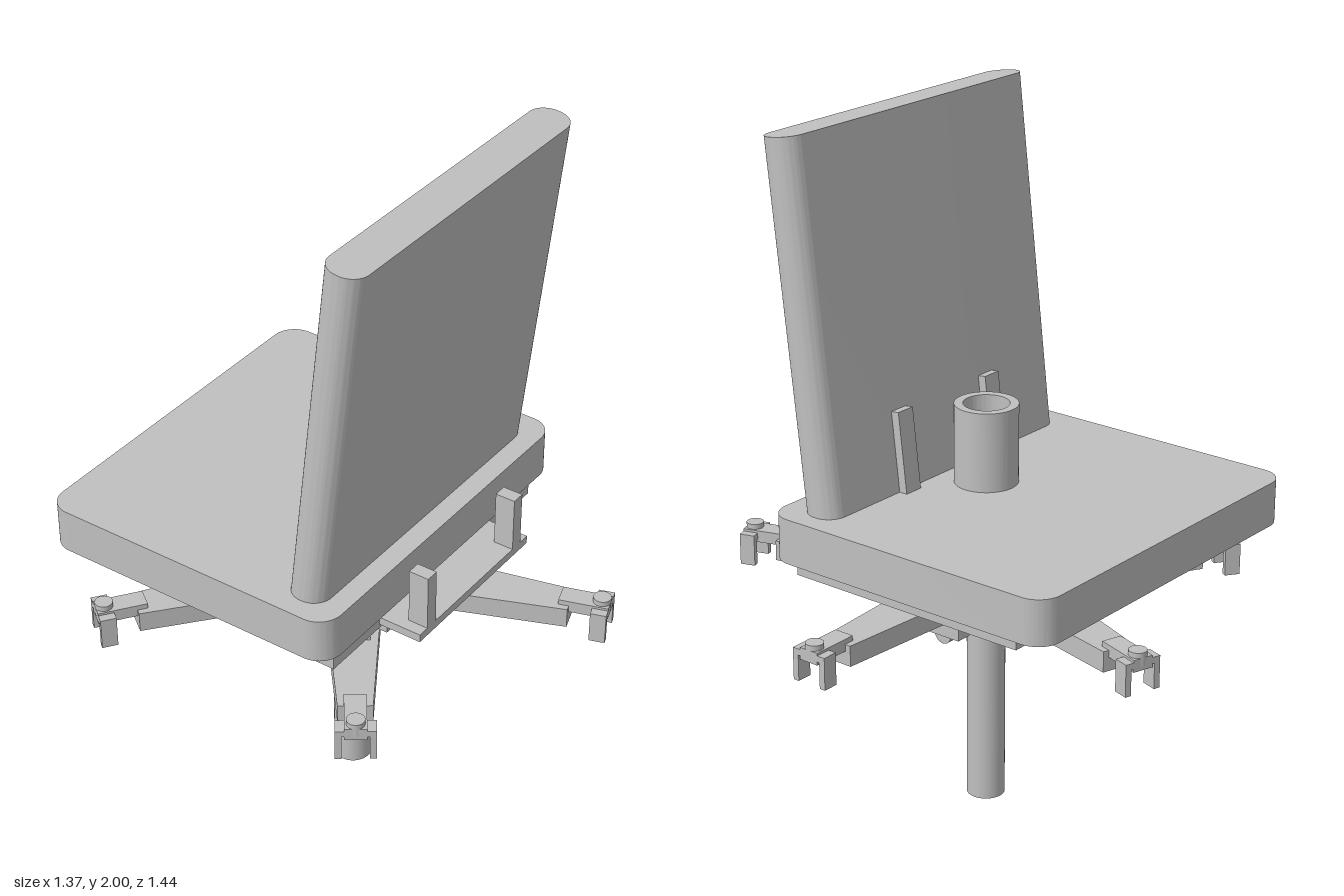
import * as THREE from 'three';
import { toCreasedNormals } from 'three/addons/utils/BufferGeometryUtils.js';

const CX = -0.055; // axis of the column and star base
const grey = new THREE.MeshStandardMaterial({ color: 0xc0c0c0 });
grey.name = 'grey';

export function createModel() {
  const root = new THREE.Group();
  root.name = 'chair';

  function add(name, geometry, parent = root) {
    const mesh = new THREE.Mesh(geometry, grey);
    mesh.name = name;
    parent.add(mesh);
    return mesh;
  }

  // box from its limits on each axis
  function box(name, x0, x1, y0, y1, z0, z1, parent) {
    const g = new THREE.BoxGeometry(x1 - x0, y1 - y0, z1 - z0);
    g.translate((x0 + x1) / 2, (y0 + y1) / 2, (z0 + z1) / 2);
    return add(name, g, parent);
  }

  function cylinder(name, r, y0, y1, x = CX, z = 0, parent = root) {
    const g = new THREE.CylinderGeometry(r, r, y1 - y0, 40);
    g.translate(x, (y0 + y1) / 2, z);
    return add(name, g, parent);
  }

  // upright extrusion of a plan outline given as (x, -z)
  function upright(shape, height) {
    const g = new THREE.ExtrudeGeometry(shape, { depth: height, bevelEnabled: false, curveSegments: 10 });
    g.rotateX(-Math.PI / 2);
    return toCreasedNormals(g, 0.5);
  }

  function roundedRect(w, d, r) {
    const s = new THREE.Shape();
    const x = w / 2, y = d / 2;
    s.absarc(x - r, y - r, r, 0, Math.PI / 2);
    s.absarc(-x + r, y - r, r, Math.PI / 2, Math.PI);
    s.absarc(-x + r, -y + r, r, Math.PI, Math.PI * 1.5);
    s.absarc(x - r, -y + r, r, Math.PI * 1.5, Math.PI * 2);
    s.closePath();
    return s;
  }

  // seat cushion and stepped underside
  add('seat', upright(roundedRect(1.11, 0.935, 0.07), 0.13)).position.set(CX, 0.84, -0.158);
  box('seatPan', -0.535, 0.42, 0.77, 0.84, -0.478, 0.28);
  box('mountingPlate', -0.27, 0.16, 0.725, 0.77, -0.22, 0.22);

  // leaning backrest with its two front tabs
  const tilt = 0.116;
  const back = new THREE.Group();
  back.name = 'back';
  back.position.set(CX, 0.87, 0.178);
  back.rotation.x = tilt;
  root.add(back);
  add('backrest', upright(roundedRect(0.995, 0.116, 0.055), 1.131), back);
  for (const x of [-0.19, 0.186]) box('backTab', x - 0.03, x + 0.03, 0, 0.325, -0.083, -0.05, back);

  // open cup standing on the seat
  const ring = new THREE.Shape();
  ring.absarc(0, 0, 0.09, 0, Math.PI * 2);
  const bore = new THREE.Path();
  bore.absarc(0, 0, 0.065, 0, Math.PI * 2, true);
  ring.holes.push(bore);
  const cup = new THREE.ExtrudeGeometry(ring, { depth: 0.25, bevelEnabled: false, curveSegments: 40 });
  cup.rotateX(-Math.PI / 2);
  add('cup', toCreasedNormals(cup, 0.5)).position.set(CX, 0.95, 0);

  // rear bracket with two posts
  box('bracketBar', -0.325, 0.205, 0.782, 0.806, 0.27, 0.41);
  for (const x of [-0.27, 0.15]) {
    box('bracketPost', x - 0.02, x + 0.02, 0.806, 0.97, 0.35, 0.41);
    box('bracketStrap', x - 0.02, x + 0.02, 0.73, 0.785, 0.1, 0.28);
  }

  // column, collar and hub
  cylinder('column', 0.055, 0, 0.65);
  cylinder('columnRing', 0.062, 0.53, 0.575);
  cylinder('collar', 0.075, 0.575, 0.637);
  cylinder('hub', 0.12, 0.64, 0.728);

  // cross tube held by two hangers
  const tube = new THREE.CylinderGeometry(0.028, 0.028, 0.385, 32);
  tube.rotateZ(Math.PI / 2);
  add('crossTube', tube).position.set(CX, 0.57, 0);
  const hanger = new THREE.Shape([[-0.07, 0.575], [0.1, 0.575], [0.12, 0.66], [-0.07, 0.66]]
    .map(([z, y]) => new THREE.Vector2(-z, y)));
  for (const x of [-0.27, 0.105]) {
    const g = new THREE.ExtrudeGeometry(hanger, { depth: 0.05, bevelEnabled: false });
    g.rotateY(Math.PI / 2);
    add('hanger', g).position.x = x;
  }

  // five tapered legs, each ending in an empty wheel fork
  const plan = new THREE.Shape([[0, -0.092], [0.63, -0.047], [0.63, 0.047], [0, 0.092]]
    .map(([x, y]) => new THREE.Vector2(x, y)));
  for (let i = 0; i < 5; i++) {
    const leg = new THREE.Group();
    leg.name = 'leg';
    leg.position.x = CX;
    leg.rotation.y = i * Math.PI * 2 / 5;
    root.add(leg);
    add('legArm', upright(plan, 0.06), leg).position.y = 0.65;
    box('legRib', 0.05, 0.36, 0.7, 0.725, -0.045, 0.045, leg);
    box('legTip', 0.6, 0.74, 0.69, 0.725, -0.03, 0.03, leg);
    box('forkTop', 0.695, 0.74, 0.7, 0.718, -0.055, 0.055, leg);
    for (const s of [-1, 1]) box('forkProng', 0.695, 0.74, 0.625, 0.71, s * 0.046 - 0.009, s * 0.046 + 0.009, leg);
    cylinder('forkPin', 0.025, 0.7, 0.74, 0.716, 0, leg);
  }
  return root;
}
